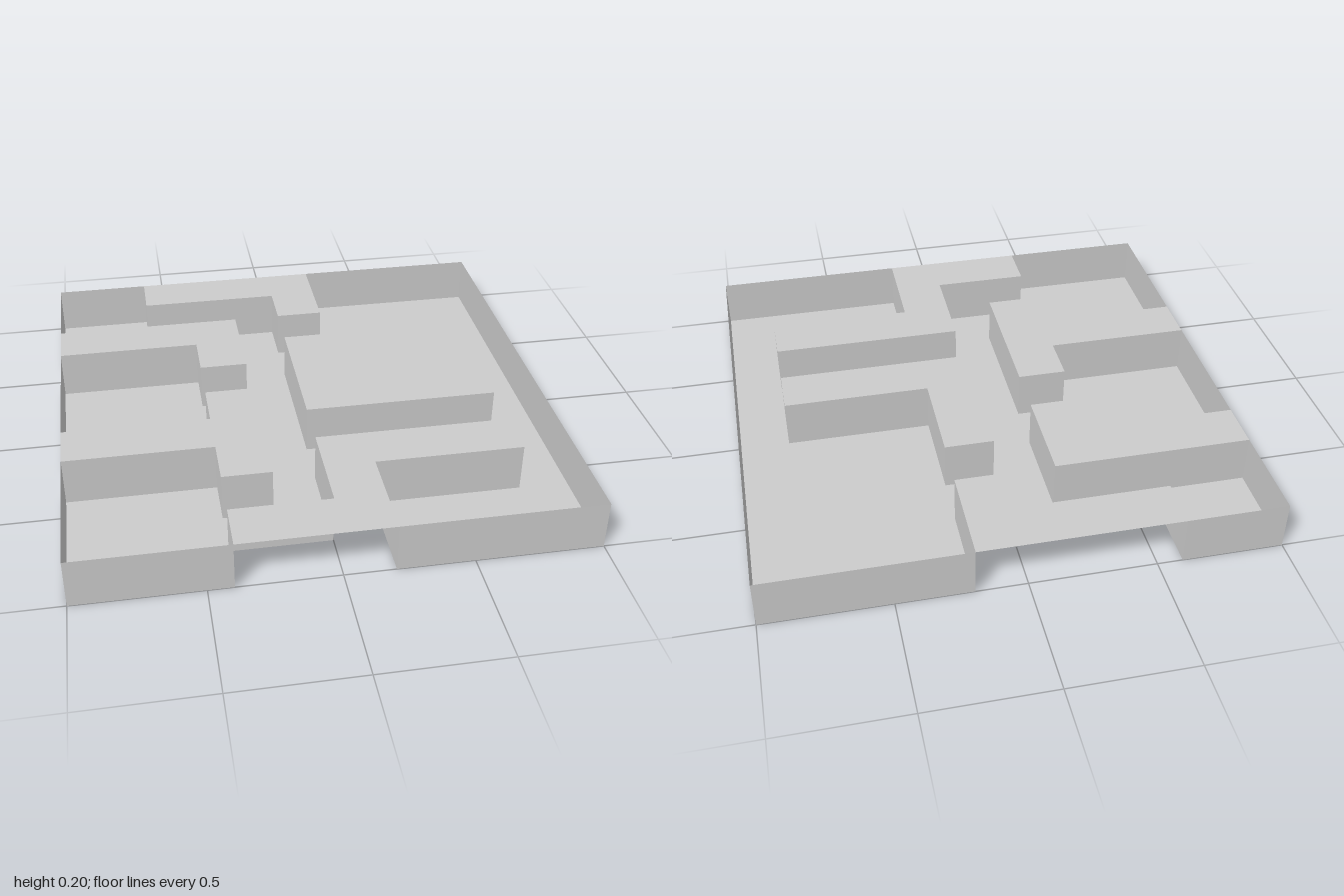
import * as THREE from 'three';
import { mergeGeometries } from 'three/addons/utils/BufferGeometryUtils.js';

const UNIT = 0.2;   // one maze cell, also the wall height

// Raised strips as [x, z] cell corners, walked in order round the tile.
// The edge strips start and end on the tile's border, where they are open.
const backStrip = [[-3, -5], [-3, -4], [0, -4], [0, -3], [1, -3], [1, -5]];
const frontStrip = [[1, 5], [1, 3], [4, 3], [4, 2], [0, 2], [0, 4], [-2, 4], [-2, 5]];
const leftTee = [[-5, 2], [-2, 2], [-2, 3], [-1, 3], [-1, 0], [-2, 0], [-2, 1], [-5, 1]];
const leftHook = [[-5, -2], [-2, -2], [-2, -1], [-1, -1], [-1, -3], [-5, -3]];
const island = [[0, -2], [0, 1], [4, 1], [4, 0], [1, 0], [1, -2]];

// The floor fills the square tile around the strips
const floorOutline = [
  [-5, -5], ...backStrip, [5, -5], [5, 5], ...frontStrip, [-5, 5], ...leftTee, ...leftHook,
];

const toPoints = (cells) => cells.map(([x, z]) => new THREE.Vector2(x * UNIT, -z * UNIT));

// Flat horizontal sheet at height y
function sheet(outline, y, hole) {
  const shape = new THREE.Shape(toPoints(outline));
  if (hole) shape.holes.push(new THREE.Path(toPoints(hole)));
  return new THREE.ShapeGeometry(shape).rotateX(-Math.PI / 2).translate(0, y, 0);
}

// One upright panel on every edge of a closed outline
function wallsAlong(outline) {
  return mergeGeometries(outline.map(([x1, z1], i) => {
    const [x2, z2] = outline[(i + 1) % outline.length];
    const length = Math.hypot(x2 - x1, z2 - z1) * UNIT;
    return new THREE.PlaneGeometry(length, UNIT)
      .rotateY(-Math.atan2(z2 - z1, x2 - x1))
      .translate((x1 + x2) * UNIT / 2, UNIT / 2, (z1 + z2) * UNIT / 2);
  }));
}

export function createModel() {
  const group = new THREE.Group();
  group.name = 'mazeTile';
  const material = new THREE.MeshStandardMaterial({
    color: 0xcccccc, flatShading: true, side: THREE.DoubleSide,
  });
  const add = (name, geometry) => {
    const mesh = new THREE.Mesh(geometry, material);
    mesh.name = name;
    group.add(mesh);
  };

  // Floor and the walls that rise from its edges
  add('floor', sheet(floorOutline, 0, island));
  add('outerWalls', wallsAlong(floorOutline));
  add('islandWalls', wallsAlong(island));

  // Raised tops of the strips
  const tops = { backStrip, frontStrip, leftTee, leftHook, island };
  for (const [name, outline] of Object.entries(tops)) add(name + 'Top', sheet(outline, UNIT));

  return group;
}
